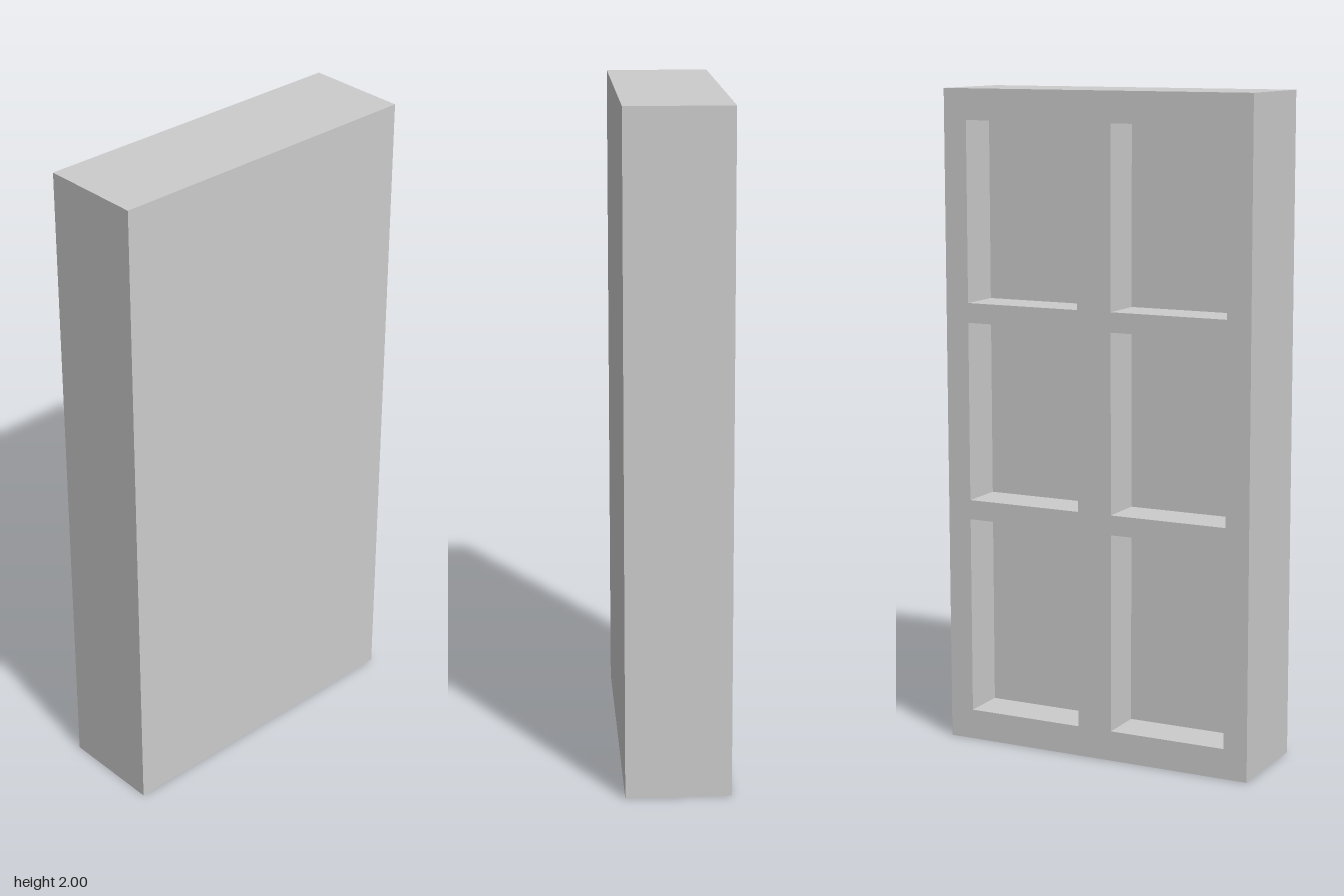
import * as THREE from 'three';

const WIDTH = 1, HEIGHT = 2, DEPTH = 0.31, RECESS = 0.137;

// Recess layout: mirrored columns, bottom row slightly taller
const COLUMNS = [[-0.425, -0.055], [0.055, 0.425]];
const ROWS = [[0.092, 0.697], [0.757, 1.302], [1.362, 1.907]];

function trace(path, x0, x1, y0, y1) {
  path.moveTo(x0, y0);
  path.lineTo(x1, y0);
  path.lineTo(x1, y1);
  path.lineTo(x0, y1);
  path.closePath();
  return path;
}

export function createModel() {
  const model = new THREE.Group();
  model.name = 'panelledSlab';
  const material = new THREE.MeshStandardMaterial({ color: 0xcccccc });

  // Solid front slab, which also forms the floors of the recesses
  const slabDepth = DEPTH - RECESS;
  const slab = new THREE.Mesh(new THREE.BoxGeometry(WIDTH, HEIGHT, slabDepth), material);
  slab.name = 'frontSlab';
  slab.position.set(0, HEIGHT / 2, (DEPTH - slabDepth) / 2);
  model.add(slab);

  // Rear lattice with six rectangular openings
  const outline = trace(new THREE.Shape(), -WIDTH / 2, WIDTH / 2, 0, HEIGHT);
  for (const [x0, x1] of COLUMNS) {
    for (const [y0, y1] of ROWS) {
      outline.holes.push(trace(new THREE.Path(), x0, x1, y0, y1));
    }
  }
  const lattice = new THREE.Mesh(
    new THREE.ExtrudeGeometry(outline, { depth: RECESS, bevelEnabled: false }), material);
  lattice.name = 'rearLattice';
  lattice.position.z = -DEPTH / 2;
  model.add(lattice);

  return model;
}
